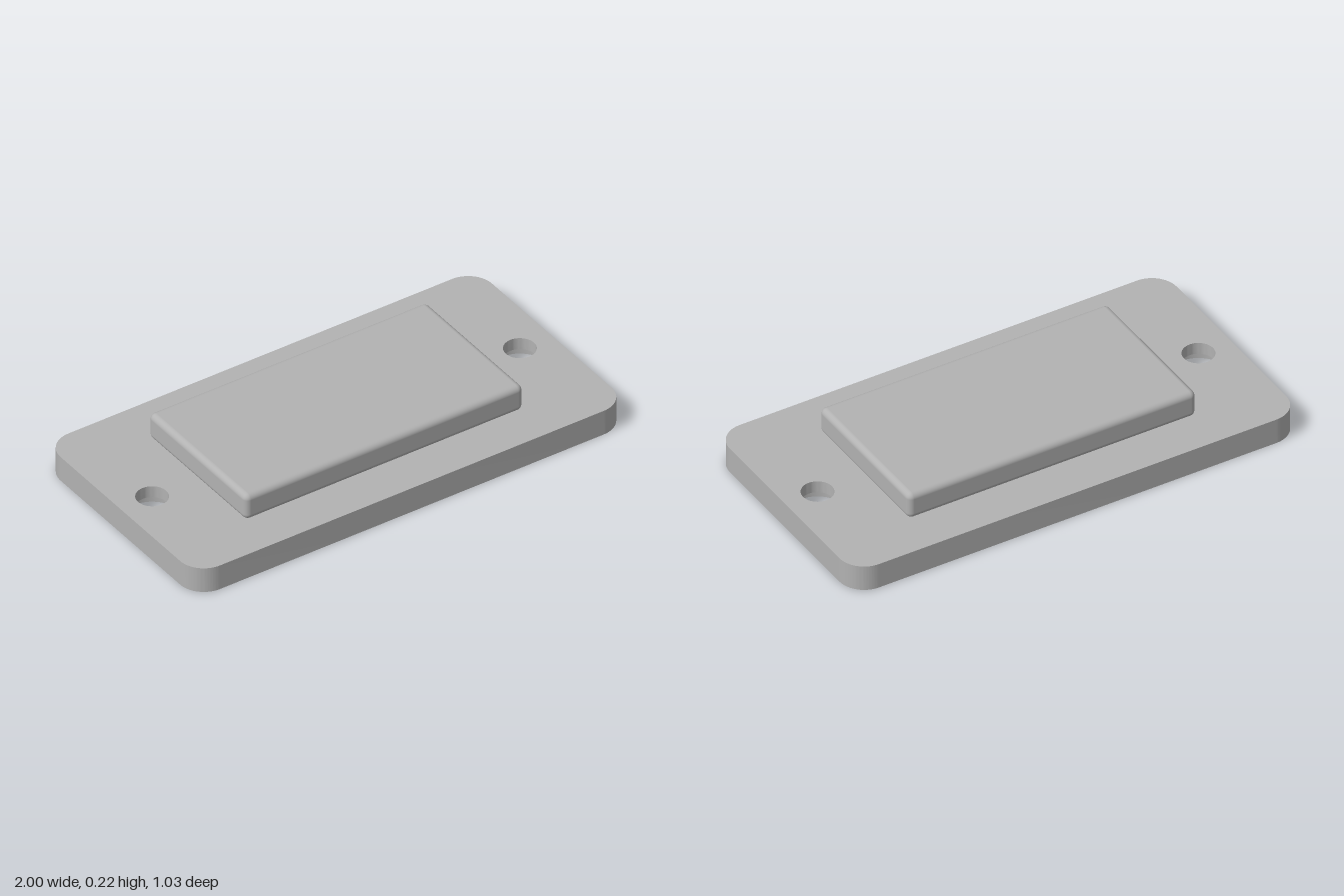
import * as THREE from 'three';
import { toCreasedNormals } from 'three/addons/utils/BufferGeometryUtils.js';
import { RoundedBoxGeometry } from 'three/addons/geometries/RoundedBoxGeometry.js';

const W = 1.0, D = 0.517, R = 0.11;          // plate half width, half depth, corner radius
const PLATE_TOP = 0.112, BORE_FLOOR = 0.06;  // plate thickness, counterbore depth
const HOLE_X = 0.853, HOLE_R = 0.065, BORE_R = 0.118;

// Rounded rectangle outline with an optional pair of screw holes
function plateShape(holeRadius) {
  const s = new THREE.Shape();
  s.absarc(W - R, D - R, R, 0, Math.PI / 2);
  s.absarc(-W + R, D - R, R, Math.PI / 2, Math.PI);
  s.absarc(-W + R, -D + R, R, Math.PI, Math.PI * 1.5);
  s.absarc(W - R, -D + R, R, Math.PI * 1.5, Math.PI * 2);
  s.closePath();
  if (holeRadius) {
    for (const x of [-HOLE_X, HOLE_X]) {
      s.holes.push(new THREE.Path().absarc(x, 0, holeRadius, 0, Math.PI * 2, true));
    }
  }
  return s;
}

// Side walls only: an extrusion with its end caps dropped
function wallGeometry() {
  const g = new THREE.ExtrudeGeometry(plateShape(0), { depth: PLATE_TOP, bevelEnabled: false, curveSegments: 16 });
  const { start, count } = g.groups[1];
  const p = g.attributes.position.array.slice(start * 3, (start + count) * 3);
  const wall = new THREE.BufferGeometry();
  wall.setAttribute('position', new THREE.BufferAttribute(p, 3));
  wall.rotateX(-Math.PI / 2);
  return toCreasedNormals(wall, 0.5);
}

export function createModel() {
  const gray = new THREE.MeshStandardMaterial({ color: 0xb2b2b2 });
  gray.name = 'gray';
  const model = new THREE.Group();
  model.name = 'mountingPlate';
  const add = (name, geometry, parent = model) => {
    const mesh = new THREE.Mesh(geometry, gray);
    mesh.name = name;
    parent.add(mesh);
    return mesh;
  };

  // Base plate: walls, top face with small holes, underside with wide bores
  const plate = new THREE.Group();
  plate.name = 'basePlate';
  model.add(plate);
  add('plateWalls', wallGeometry(), plate);
  add('plateTop', new THREE.ShapeGeometry(plateShape(HOLE_R), 24).rotateX(-Math.PI / 2), plate).position.y = PLATE_TOP;
  add('plateUnderside', new THREE.ShapeGeometry(plateShape(BORE_R), 24).rotateX(Math.PI / 2), plate);

  // Counterbored screw holes, open from below
  const profile = [
    [HOLE_R, PLATE_TOP], [HOLE_R, BORE_FLOOR], [BORE_R, BORE_FLOOR], [BORE_R, 0],
  ].map(([r, y]) => new THREE.Vector2(r, y));
  const bore = toCreasedNormals(new THREE.LatheGeometry(profile, 48), 0.6);
  for (const [name, x] of [['leftScrewHole', HOLE_X], ['rightScrewHole', -HOLE_X]]) {
    add(name, bore, plate).position.x = x;
  }

  // Raised pad with softened edges, slightly sunk into the plate
  const bottom = 0.106, top = 0.223;
  add('raisedPad', new RoundedBoxGeometry(1.29, top - bottom, 0.666, 5, 0.025))
    .position.y = (top + bottom) / 2;

  return model;
}
